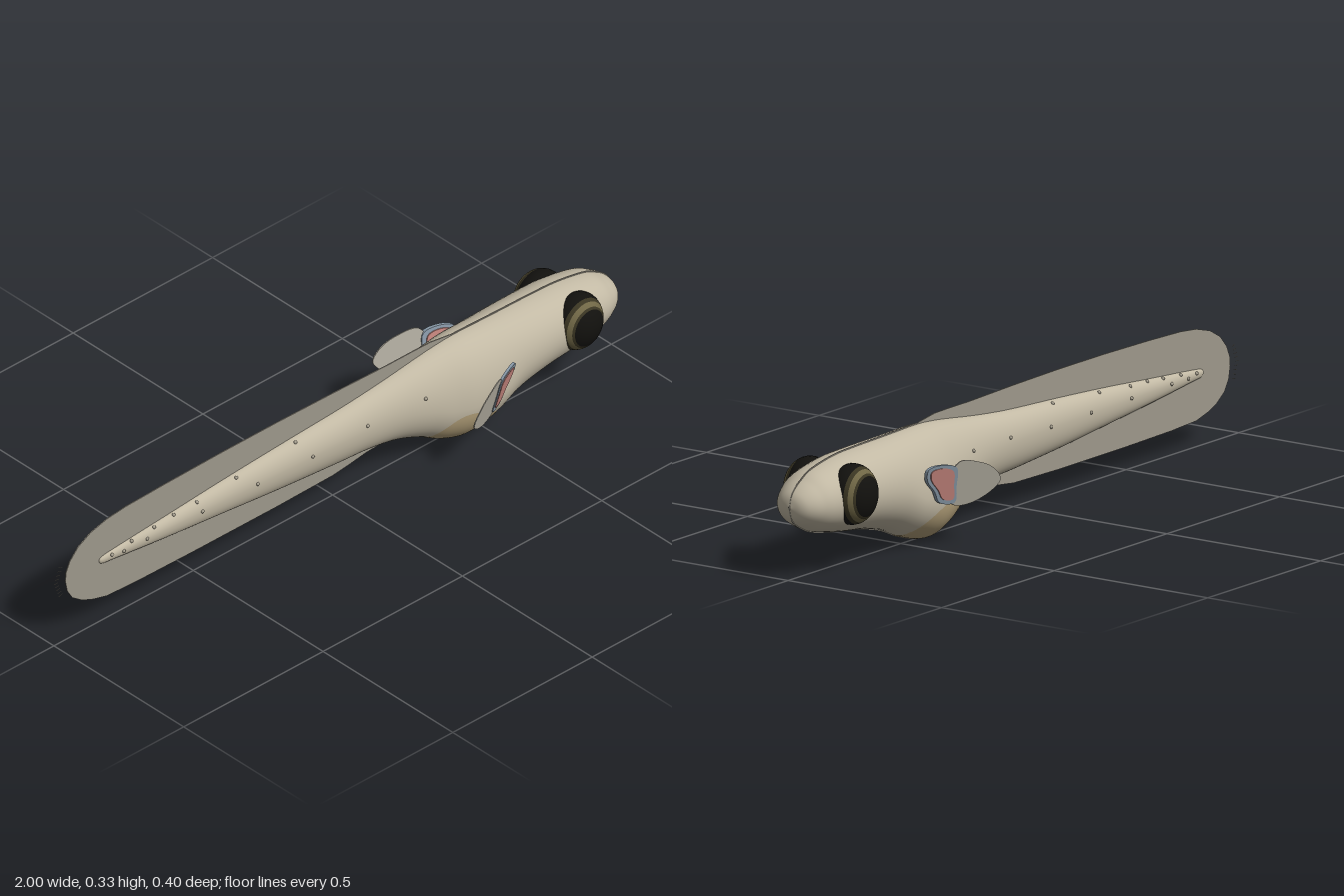
import * as THREE from 'three';

const mat = (color, side = THREE.FrontSide) => new THREE.MeshStandardMaterial({ color, side });
const skin = mat(0xc2b9a4), yolk = mat(0xb6a37c), finSkin = mat(0x9d988b, THREE.DoubleSide);
const pecSkin = mat(0xb4afa2, THREE.DoubleSide), pink = mat(0xc98880), blueGrey = mat(0x8b9cab);
const black = mat(0x12110e), darkOlive = mat(0x3a3522), olive = mat(0x6f6645), spotSkin = mat(0xa9a292);

// Body stations from nose to tail: x, top, bottom, half width, height of the widest line
const stations = [
  [0.995, 0.195, 0.195, 0, 0.195], [0.988, 0.222, 0.168, 0.033, 0.195], [0.973, 0.241, 0.149, 0.055, 0.195],
  [0.945, 0.26, 0.132, 0.074, 0.195], [0.9, 0.281, 0.113, 0.09, 0.196], [0.8, 0.299, 0.094, 0.1, 0.196],
  [0.7, 0.304, 0.081, 0.101, 0.19], [0.6, 0.306, 0.058, 0.102, 0.175], [0.52, 0.308, 0.026, 0.106, 0.14],
  [0.43, 0.31, 0.003, 0.103, 0.13], [0.36, 0.306, 0.018, 0.09, 0.14], [0.29, 0.298, 0.054, 0.077, 0.165],
  [0.2, 0.286, 0.086, 0.062, 0.185], [0.1, 0.275, 0.1, 0.052, 0.192], [0, 0.267, 0.106, 0.047, 0.195],
  [-0.2, 0.256, 0.121, 0.038, 0.196], [-0.4, 0.243, 0.14, 0.029, 0.196], [-0.6, 0.227, 0.159, 0.02, 0.197],
  [-0.78, 0.213, 0.179, 0.011, 0.197], [-0.83, 0.207, 0.185, 0.007, 0.197], [-0.842, 0.197, 0.197, 0, 0.197],
];
const spine = (i, j) => new THREE.CatmullRomCurve3(
  stations.map((s) => new THREE.Vector3(s[0], s[i], s[j])), false, 'catmullrom', 0.5);
const heights = spine(1, 2), widths = spine(3, 4);

// Point on the body: t runs nose to tail, a runs round from the back over +z
function bodyPoint(t, a, swell = 0) {
  const h = heights.getPoint(t), w = widths.getPoint(t);
  const c = Math.cos(a), reach = c > 0 ? h.y - w.z : w.z - h.z;
  return new THREE.Vector3(h.x, w.z + c * (reach + swell), Math.sin(a) * (Math.max(w.y, 0) + swell));
}

// Parameter t at a given x
function tAt(x) {
  let lo = 0, hi = 1;
  for (let i = 0; i < 30; i++) {
    const m = (lo + hi) / 2;
    if (heights.getPoint(m).x > x) lo = m; else hi = m;
  }
  return lo;
}

// Skin between two stations, as a full ring or as an open patch with a rounded outline
function skinGeometry(rows, cols, pointAt, wrap) {
  const pos = [], idx = [], n = wrap ? cols : cols + 1;
  for (let i = 0; i <= rows; i++)
    for (let j = 0; j < n; j++) pos.push(...pointAt(i / rows, j / cols).toArray());
  for (let i = 0; i < rows; i++)
    for (let j = 0; j < cols; j++) {
      const a = i * n + j, b = i * n + (j + 1) % n, c = a + n, d = b + n;
      idx.push(a, c, b, b, c, d);
    }
  const g = new THREE.BufferGeometry();
  g.setAttribute('position', new THREE.Float32BufferAttribute(pos, 3));
  g.setIndex(idx);
  g.computeVertexNormals();
  return g;
}

const toV2 = (pts) => pts.map(([x, y]) => new THREE.Vector2(x, y));
const smoothShape = (pts) => new THREE.Shape(
  new THREE.CatmullRomCurve3(pts.map(([x, y]) => new THREE.Vector3(x, y, 0)), true)
    .getPoints(pts.length * 5).slice(0, -1).map((p) => new THREE.Vector2(p.x, p.y)));

function slab(shape, depth) {
  const g = new THREE.ExtrudeGeometry(shape, { depth, bevelEnabled: false });
  return g.translate(0, 0, -depth / 2);
}

function add(parent, name, geometry, material) {
  const m = new THREE.Mesh(geometry, material);
  m.name = name;
  parent.add(m);
  return m;
}

// Eye made of colour bands round the z axis
function makeEye(side) {
  const eye = new THREE.Group();
  eye.name = side > 0 ? 'leftEye' : 'rightEye';
  const bands = [['pupil', 0, 42, black], ['innerIris', 42, 48, darkOlive], ['iris', 48, 60, olive],
    ['outerIris', 60, 70, darkOlive], ['eyeRim', 70, 180, black]];
  for (const [name, from, to, m] of bands) {
    const g = new THREE.SphereGeometry(1, 40, 10, 0, Math.PI * 2,
      THREE.MathUtils.degToRad(from), THREE.MathUtils.degToRad(to - from));
    add(eye, name, g.rotateX(side * Math.PI / 2).scale(0.076, 0.082, 0.065), m);
  }
  eye.position.set(0.81, 0.207, side * 0.07);
  return eye;
}

// Side fin: outlines drawn in x and y, then sheared so the fin sweeps back and out
function makeSideFin(side) {
  const fin = new THREE.Group();
  fin.name = side > 0 ? 'leftSideFin' : 'rightSideFin';
  const blade = smoothShape([[0.325, 0.168], [0.352, 0.205], [0.4, 0.229], [0.455, 0.236],
    [0.475, 0.18], [0.45, 0.116], [0.405, 0.111], [0.35, 0.136]]);
  const border = smoothShape([[0.447, 0.121], [0.452, 0.17], [0.462, 0.221], [0.505, 0.234],
    [0.542, 0.226], [0.54, 0.195], [0.512, 0.16], [0.49, 0.126]]);
  const pad = smoothShape([[0.456, 0.132], [0.462, 0.172], [0.472, 0.213], [0.506, 0.225],
    [0.533, 0.218], [0.531, 0.197], [0.504, 0.163], [0.484, 0.135]]);
  const layers = [['finBlade', blade, 0.003, pecSkin], ['finBaseBorder', border, 0.009, blueGrey],
    ['finBasePad', pad, 0.014, pink]];
  for (const [name, shape, depth, m] of layers) {
    const g = slab(shape, depth), p = g.attributes.position;
    for (let i = 0; i < p.count; i++) {
      const x = p.getX(i), y = p.getY(i);
      p.setZ(i, p.getZ(i) + side * (0.135 - 0.42 * (x - 0.47) + 0.25 * (y - 0.17)));
    }
    g.computeVertexNormals();
    add(fin, name, g, m);
  }
  return fin;
}

export function createModel() {
  const model = new THREE.Group();
  model.name = 'fishLarva';

  add(model, 'body', skinGeometry(140, 48, (u, v) => bodyPoint(u, v * Math.PI * 2), true), skin);

  // Yolk tint on both flanks of the belly
  const t0 = tAt(0.54), t1 = tAt(0.3);
  add(model, 'yolkPatch', skinGeometry(24, 40, (u, v) => {
    const spread = 1.45 * Math.sqrt(Math.max(0, 1 - (2 * u - 1) ** 2));
    return bodyPoint(t0 + (t1 - t0) * u, Math.PI + (2 * v - 1) * spread, 0.0012);
  }, false), yolk);

  // Fin fold round the tail
  add(model, 'finFold', slab(new THREE.Shape(toV2([
    [0.46, 0.3], [0.42, 0.314], [0.35, 0.324], [0.29, 0.325], [0.2, 0.325], [0, 0.33], [-0.2, 0.333],
    [-0.4, 0.333], [-0.6, 0.33], [-0.74, 0.326], [-0.81, 0.319], [-0.87, 0.303], [-0.915, 0.278],
    [-0.945, 0.245], [-0.958, 0.215], [-0.96, 0.19], [-0.953, 0.155], [-0.935, 0.125], [-0.9, 0.1],
    [-0.86, 0.084], [-0.81, 0.071], [-0.7, 0.066], [-0.5, 0.063], [-0.2, 0.062], [0, 0.065],
    [0.06, 0.072], [0.12, 0.081], [0.2, 0.084], [0.28, 0.06], [0.3, 0.15],
  ])), 0.003), finSkin);

  // Fine ridge along the midline of head and belly
  const ridge = [], tr = tAt(0.3);
  for (let i = 0; i <= 40; i++) {
    const p = bodyPoint(tr * (1 - i / 40), 0, 0.003);
    ridge.push([p.x + (i === 40 ? 0.003 : 0), p.y]);
  }
  for (let i = 1; i <= 40; i++) {
    const p = bodyPoint(tr * i / 40, Math.PI, 0.0025);
    ridge.push([p.x, p.y]);
  }
  add(model, 'midlineRidge', slab(new THREE.Shape(toV2(ridge)), 0.003), finSkin);

  for (const side of [1, -1]) {
    model.add(makeEye(side), makeSideFin(side));

    // Sensory buds along the flank, denser toward the tail
    const buds = new THREE.Group();
    buds.name = side > 0 ? 'leftSensoryBuds' : 'rightSensoryBuds';
    const spots = [[0.27, 1.2], [0.08, 1.35], [-0.11, 1.5], [-0.3, 1.5], [-0.49, 1.5], [-0.68, 1.5],
      [-0.15, 0.45], [-0.36, 0.5], [-0.5, 0.6], [-0.58, 0.5], [-0.65, 0.6], [-0.73, 0.7], [-0.76, 1.6], [-0.8, 1.2]];
    for (const [x, a] of spots) {
      const bud = add(buds, 'sensoryBud', new THREE.SphereGeometry(0.005, 10, 8), spotSkin);
      bud.position.copy(bodyPoint(tAt(x), side * a));
    }
    model.add(buds);
  }

  // Short fine bristles off the tail edge
  const bristles = new THREE.Group();
  bristles.name = 'tailBristles';
  for (let i = 0; i < 9; i++) {
    const k = (i - 4) / 4, len = 0.014;
    const b = add(bristles, 'bristle', new THREE.CylinderGeometry(0.0008, 0.0008, len, 5), finSkin);
    b.rotation.z = Math.PI / 2 - k * 0.3;
    b.position.set(-0.993 + 0.016 * Math.abs(k), 0.197 + k * 0.045, 0);
  }
  model.add(bristles);
  return model;
}
